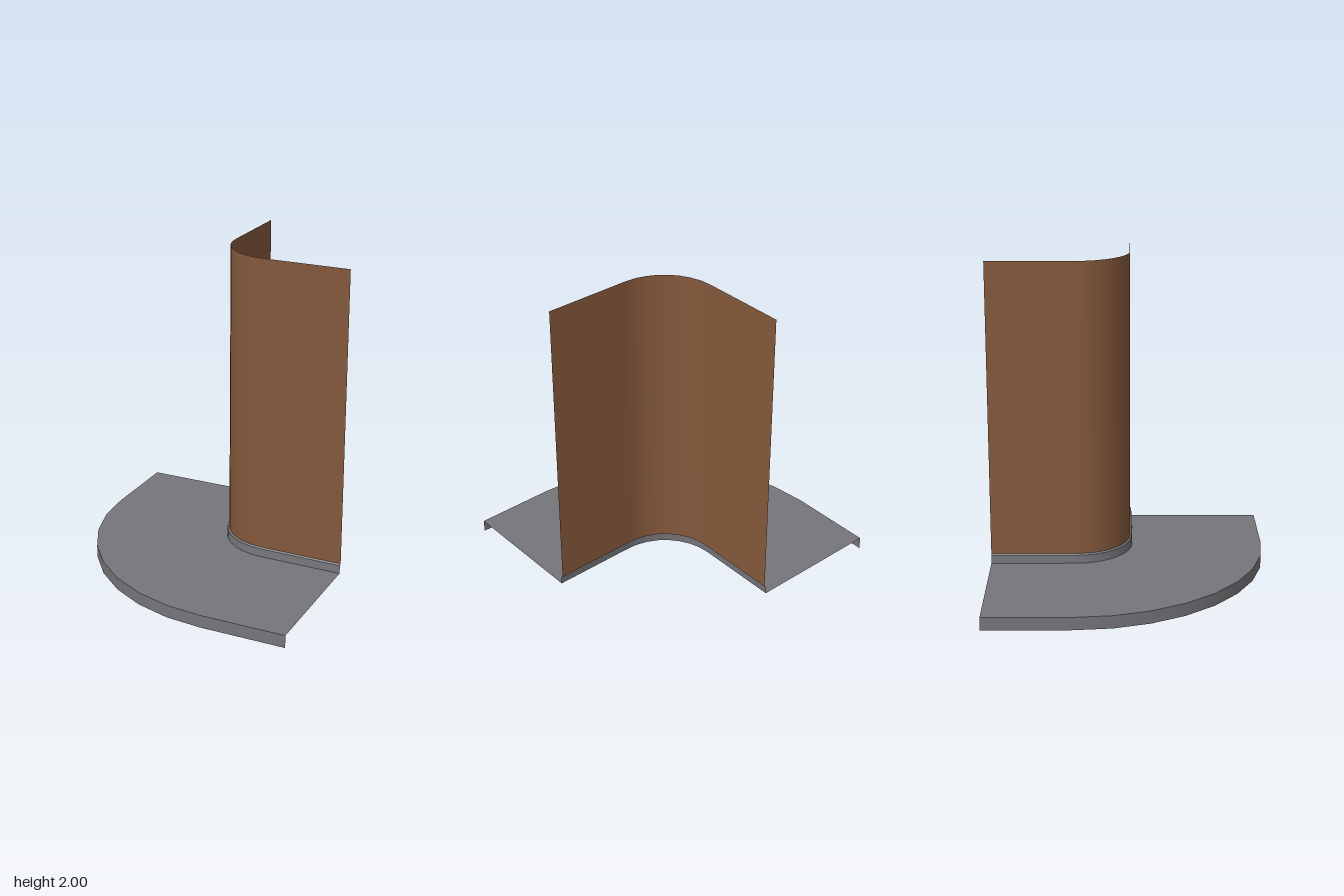
import * as THREE from 'three';

const END = 0.865;      // where the open ends are cut
const CENTRE = 0.33;    // centre of the rounded corner: x = CENTRE, z = -CENTRE
const SEGMENTS = 8;

// Corner path: straight run, quarter turn, straight run, each with its outward direction
function cornerPath() {
  const path = [{ nx: -1, nz: 0, start: true }];
  for (let i = 0; i <= SEGMENTS; i++) {
    const a = (i / SEGMENTS) * Math.PI / 2;
    path.push({ nx: -Math.cos(a), nz: Math.sin(a) });
  }
  path.push({ nx: 0, nz: 1, end: true });
  return path;
}

// Sweeps one profile edge, from [radius, y] to [radius, y], along the corner path
function sweepStrip([r0, y0], [r1, y1]) {
  const positions = [], normals = [], indices = [];
  const length = Math.hypot(r1 - r0, y1 - y0);
  const out = (y1 - y0) / length, up = (r0 - r1) / length;
  cornerPath().forEach(({ nx, nz, start, end }, j) => {
    for (const [r, y] of [[r0, y0], [r1, y1]]) {
      positions.push(end ? END : CENTRE + r * nx, y, start ? -END : -CENTRE + r * nz);
      normals.push(nx * out, up, nz * out);
    }
    if (j > 0) {
      const a = 2 * (j - 1), b = 2 * j;
      indices.push(a, b, b + 1, a, b + 1, a + 1);
    }
  });
  const geometry = new THREE.BufferGeometry();
  geometry.setAttribute('position', new THREE.Float32BufferAttribute(positions, 3));
  geometry.setAttribute('normal', new THREE.Float32BufferAttribute(normals, 3));
  geometry.setIndex(indices);
  return geometry;
}

export function createModel() {
  const grey = new THREE.MeshStandardMaterial({ color: 0x75757a, side: THREE.DoubleSide });
  grey.name = 'pavement grey';
  const brown = new THREE.MeshStandardMaterial({ color: 0x84583b, side: THREE.DoubleSide });
  brown.name = 'wall brown';

  const model = new THREE.Group();
  model.name = 'roundedCornerWall';

  const add = (name, from, to, material) => {
    const mesh = new THREE.Mesh(sweepStrip(from, to), material);
    mesh.name = name;
    model.add(mesh);
  };

  // Pavement: an open sheet with a rim along its outer curve
  add('pavementRim', [1.195, 0], [1.195, 0.08], grey);
  add('pavementTop', [1.195, 0.08], [0.355, 0.08], grey);
  // Plinth at the foot of the wall, with a bevelled ledge
  add('plinthFace', [0.355, 0.08], [0.352, 0.132], grey);
  add('plinthLedge', [0.352, 0.132], [0.341, 0.14], grey);
  // Tall thin wall
  add('wall', [0.341, 0.14], [0.341, 2], brown);

  return model;
}
